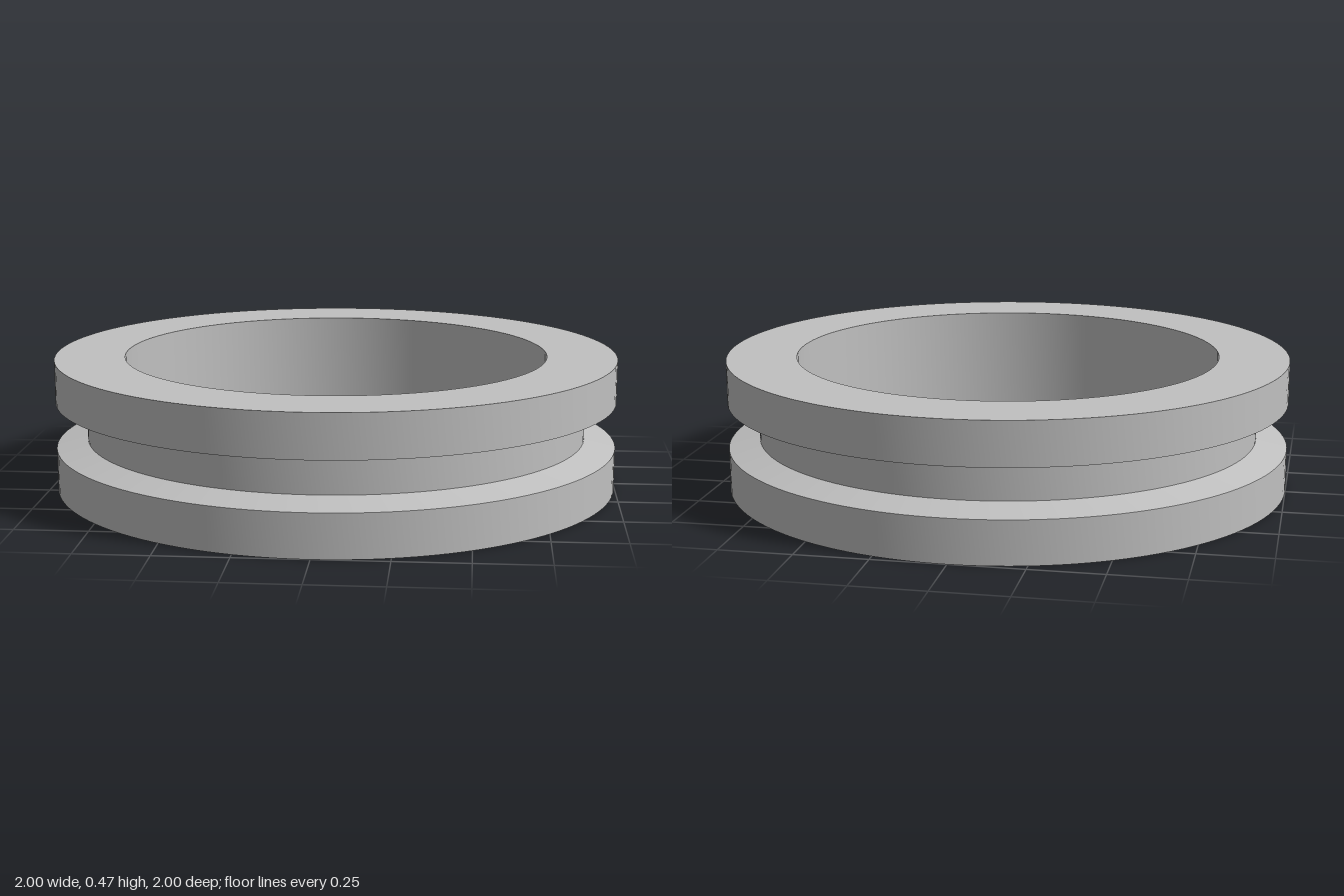
import * as THREE from 'three';
import { toCreasedNormals } from 'three/addons/utils/BufferGeometryUtils.js';

const HEIGHT = 0.466;
const OUTER = 1, GROOVE = 0.89, BORE = 0.752;
const LIP = 0.15;       // height of each rim
const FLOOR = 0.177;    // where the sloped groove side meets the groove floor

export function createModel() {
  const group = new THREE.Group();
  group.name = 'groovedRing';

  const grey = new THREE.MeshStandardMaterial({ color: 0xc0c0c0 });
  grey.name = 'light grey';

  // Closed cross-section: bottom face, lower rim, groove, upper rim, top face, bore
  const profile = [
    [BORE, 0], [OUTER, 0], [OUTER, LIP], [GROOVE, FLOOR],
    [GROOVE, HEIGHT - FLOOR], [OUTER, HEIGHT - LIP], [OUTER, HEIGHT],
    [BORE, HEIGHT], [BORE, 0],
  ].map(([r, y]) => new THREE.Vector2(r, y));

  // Smooth around the ring, sharp at the profile corners
  const geometry = toCreasedNormals(new THREE.LatheGeometry(profile, 128), 0.6);
  const ring = new THREE.Mesh(geometry, grey);
  ring.name = 'ringBody';
  group.add(ring);

  return group;
}
